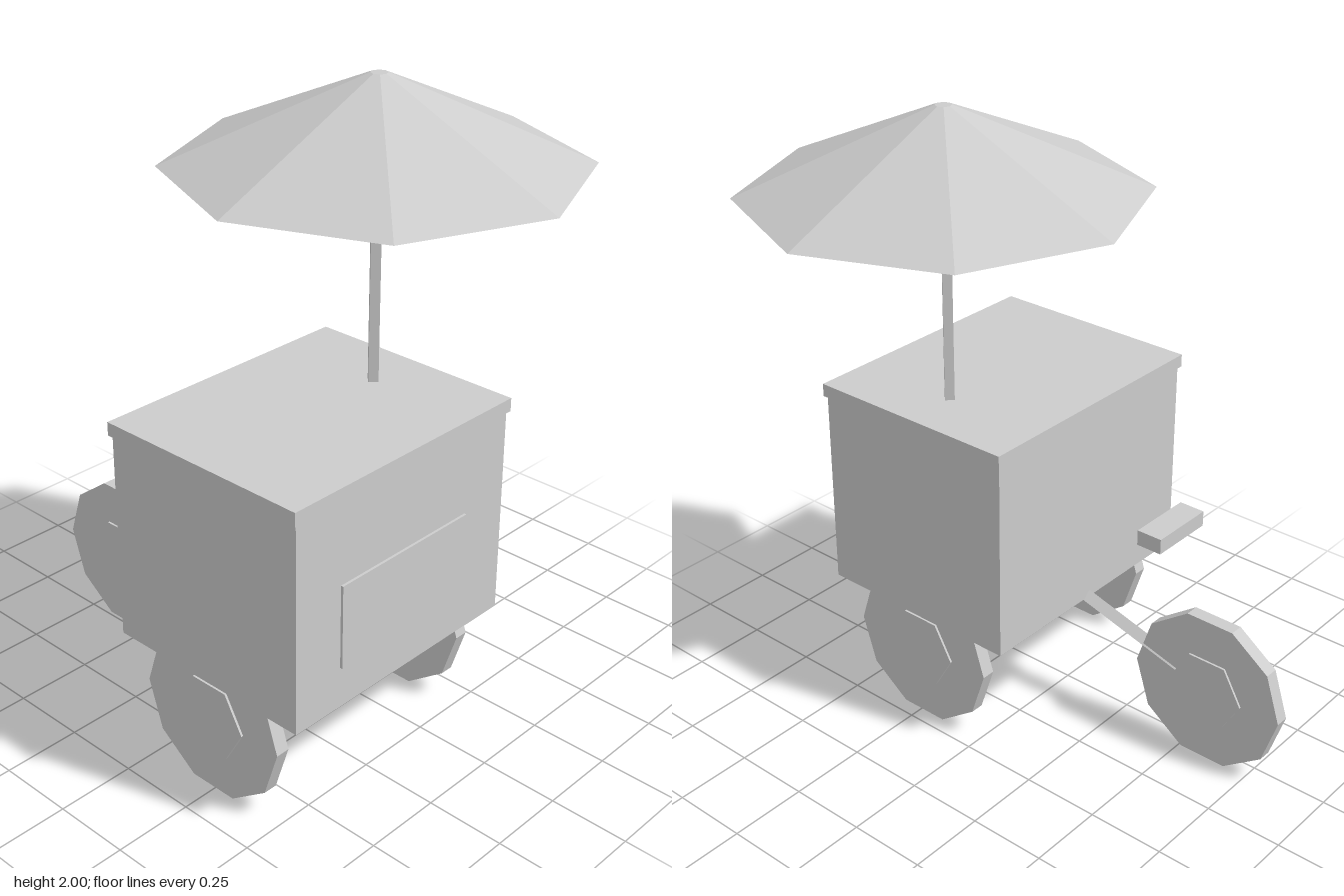
import * as THREE from 'three';

export function createModel() {
  const model = new THREE.Group();
  model.name = 'vendorCart';
  const grey = new THREE.MeshStandardMaterial({ color: 0xcccccc, flatShading: true });
  grey.name = 'lightGrey';

  const add = (name, geometry, x, y, z, parent = model) => {
    const mesh = new THREE.Mesh(geometry, grey);
    mesh.name = name;
    mesh.position.set(x, y, z);
    parent.add(mesh);
    return mesh;
  };
  const box = (name, w, h, d, x, y, z) => add(name, new THREE.BoxGeometry(w, h, d), x, y, z);

  // Cart box with overhanging lid and raised front panel
  const cx = -0.216;
  box('cartBody', 0.87, 0.66, 0.705, cx, 0.715, 0.243);
  box('lid', 0.89, 0.042, 0.72, cx, 1.064, 0.243);
  box('frontPanel', 0.522, 0.265, 0.009, cx, 0.648, 0.599);

  // Push handle behind the cart
  box('handle', 0.218, 0.05, 0.085, cx, 0.76, -0.413);

  // Parasol: square pole set on edge, eight-sided canopy with closed underside
  const px = 0.046, pz = 0.24;
  add('parasolPole', new THREE.CylinderGeometry(0.021, 0.021, 0.68, 4), px, 1.415, pz);
  add('parasolCanopy', new THREE.CylinderGeometry(0.025, 0.609, 0.258, 8), px, 1.871, pz);

  // Ten-sided wheels with six-sided hubs, axles along x
  const tyreGeometry = new THREE.CylinderGeometry(0.264, 0.264, 0.045, 10).rotateZ(Math.PI / 2);
  const hubGeometry = new THREE.CylinderGeometry(0.13, 0.13, 0.059, 6).rotateZ(Math.PI / 2);
  const wheels = [
    ['frontRightWheel', -0.609, 0.24],
    ['frontLeftWheel', 0.179, 0.24],
    ['rearWheel', cx, -0.588],
  ];
  for (const [name, x, z] of wheels) {
    const wheel = new THREE.Group();
    wheel.name = name;
    wheel.position.set(x, 0.252, z);
    add('tyre', tyreGeometry, 0, 0, 0, wheel);
    add('hub', hubGeometry, 0, 0, 0, wheel);
    model.add(wheel);
  }

  // Sloping arm from the cart's lower rear edge to the rear hub
  const from = new THREE.Vector3(cx, 0.383, -0.104);
  const to = new THREE.Vector3(cx, 0.252, -0.575);
  const armGeometry = new THREE.CylinderGeometry(0.027, 0.027, from.distanceTo(to), 4);
  const mid = from.clone().add(to).multiplyScalar(0.5);
  const arm = add('rearWheelArm', armGeometry, mid.x, mid.y, mid.z);
  arm.quaternion.setFromUnitVectors(new THREE.Vector3(0, 1, 0), from.sub(to).normalize());

  return model;
}
